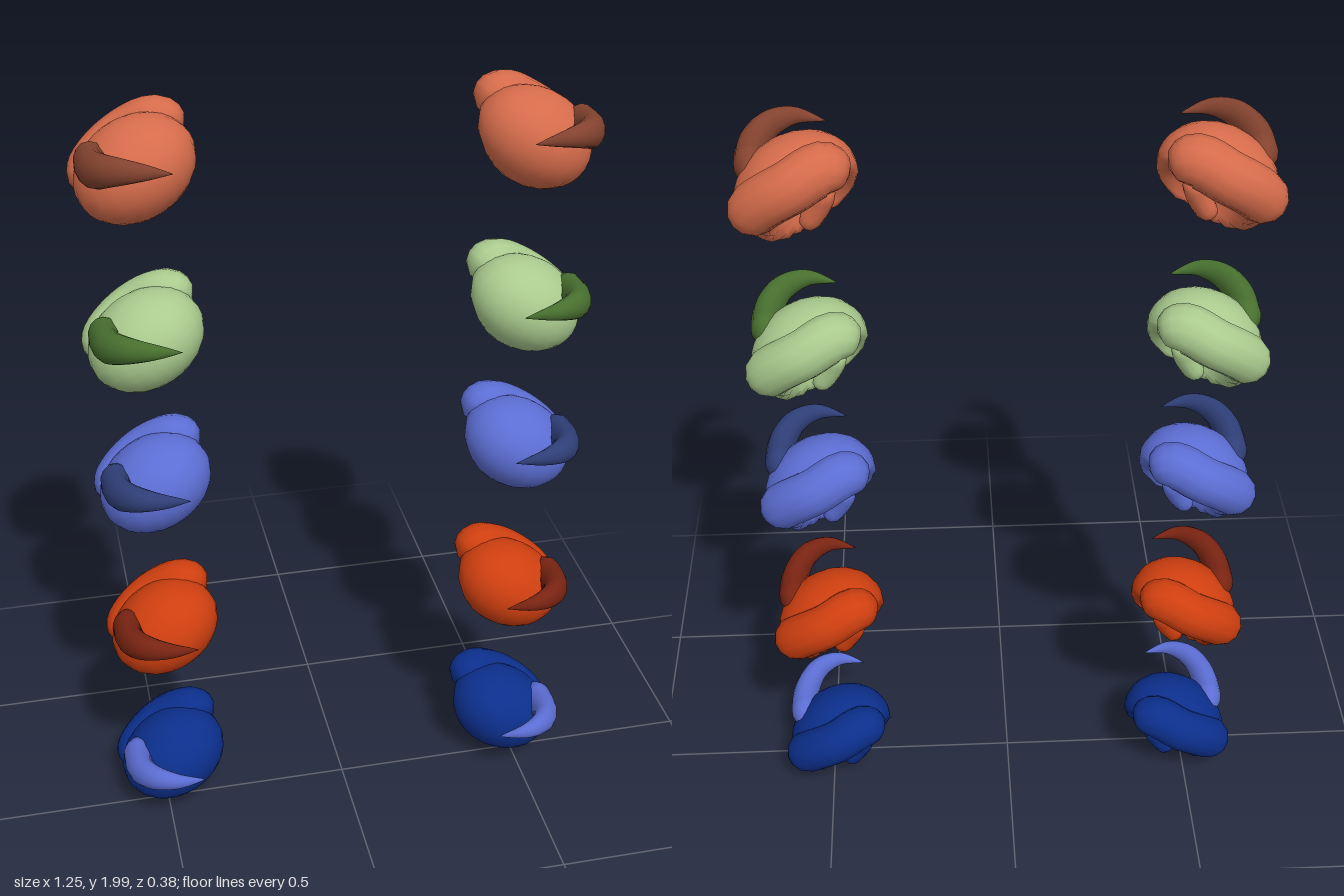
import * as THREE from 'three';
import { mergeVertices } from 'three/addons/utils/BufferGeometryUtils.js';

const V = (a) => new THREE.Vector3(...a);

// Weld the seams so the normals are smooth all round
function weld(g) {
  g.deleteAttribute('uv');
  g.deleteAttribute('normal');
  const m = mergeVertices(g, 1e-5);
  m.computeVertexNormals();
  return m;
}

// Tube along points whose radius follows a rule; height stretches it in y
function taperedTube(points, radius, height = 1, seg = 20, sides = 12) {
  const curve = new THREE.CatmullRomCurve3(points.map(V));
  const g = new THREE.TubeGeometry(curve, seg, 1, sides);
  const pos = g.attributes.position, p = new THREE.Vector3();
  for (let i = 0; i < pos.count; i++) {
    const t = Math.floor(i / (sides + 1)) / seg;
    const c = curve.getPointAt(t);
    p.fromBufferAttribute(pos, i).sub(c).multiplyScalar(radius(t));
    p.y *= height;
    p.add(c);
    pos.setXYZ(i, p.x, p.y, p.z);
  }
  return weld(g);
}

const roundEnds = (t, k) => Math.sqrt(Math.max(0, 1 - Math.max(0, 1 - Math.min(t, 1 - t) / k) ** 2));

// Tilted dome, hollowed on its inner, lower, rear face
function domeGeometry() {
  const g = new THREE.SphereGeometry(1, 22, 16);
  g.scale(0.15, 0.115, 0.13);
  g.rotateZ(-Math.PI / 6);
  const axis = V([-0.55, -0.5, -0.67]).normalize();
  const pos = g.attributes.position, p = new THREE.Vector3();
  const rim = 0.06;
  for (let i = 0; i < pos.count; i++) {
    p.fromBufferAttribute(pos, i);
    const t = p.dot(axis);
    if (t > rim) {
      const rho = p.clone().addScaledVector(axis, -t).length();
      const hollow = 0.06 * Math.max(0, 1 - (rho / 0.105) ** 2);
      p.addScaledVector(axis, rim - hollow - t);
    }
    pos.setXYZ(i, p.x, p.y, p.z);
  }
  g.translate(0.475, 0.125, -0.037);
  return weld(g);
}

// Same geometry on the other side, with corner order reversed
function mirrored(g) {
  const m = g.clone().scale(-1, 1, 1);
  const ix = m.index.array;
  for (let i = 0; i < ix.length; i += 3) [ix[i], ix[i + 1]] = [ix[i + 1], ix[i]];
  m.computeVertexNormals();
  return m;
}

export function createModel() {
  const model = new THREE.Group();
  const mat = (name, color) => {
    const m = new THREE.MeshStandardMaterial({ color });
    m.name = name;
    return m;
  };
  const periwinkle = mat('periwinkle', 0x5c6ed4);

  // Bottom height, body colour and horn colour of each pair
  const pairs = [
    [0.003, mat('navy', 0x0c2f8c), periwinkle],
    [0.44, mat('red', 0xcf3f10), mat('darkRed', 0x7a2412)],
    [0.89, periwinkle, mat('darkBlue', 0x2f3f78)],
    [1.295, mat('green', 0xaacb8e), mat('darkGreen', 0x48702f)],
    [1.73, mat('coral', 0xd66c4b), mat('brown', 0x84432f)],
  ];

  const parts = {
    dome: domeGeometry(),
    // Thick rolled edge over the back, ending in the inner knob
    rolledRim: taperedTube(
      [[0.35, 0.185, -0.1], [0.41, 0.207, -0.115], [0.48, 0.175, -0.135], [0.55, 0.125, -0.115], [0.6, 0.06, -0.07]],
      (t) => 0.06 * roundEnds(t, 0.22)),
    // Fold inside the hollow
    innerFold: taperedTube(
      [[0.4, 0.17, -0.12], [0.42, 0.115, -0.105], [0.46, 0.05, -0.09]],
      (t) => 0.026 * roundEnds(t, 0.25), 1, 12, 10),
    // Curved horn sweeping forward and inward to a point
    horn: taperedTube(
      [[0.568, 0.165, -0.06], [0.577, 0.163, 0.01], [0.572, 0.175, 0.08], [0.54, 0.192, 0.14], [0.485, 0.197, 0.172], [0.41, 0.185, 0.166]],
      (t) => 0.039 * Math.sqrt(Math.min(1, t / 0.15)) * (1 - t ** 2.4), 1.25, 26, 14),
  };

  pairs.forEach(([y, bodyMat, hornMat], i) => {
    const pair = new THREE.Group();
    pair.name = `pair${i + 1}`;
    pair.position.y = y;
    for (const side of ['left', 'right']) {
      const pad = new THREE.Group();
      pad.name = `${side}Pad`;
      for (const [name, geo] of Object.entries(parts)) {
        const mesh = new THREE.Mesh(side === 'left' ? geo : mirrored(geo), name === 'horn' ? hornMat : bodyMat);
        mesh.name = name;
        pad.add(mesh);
      }
      pair.add(pad);
    }
    model.add(pair);
  });
  return model;
}
